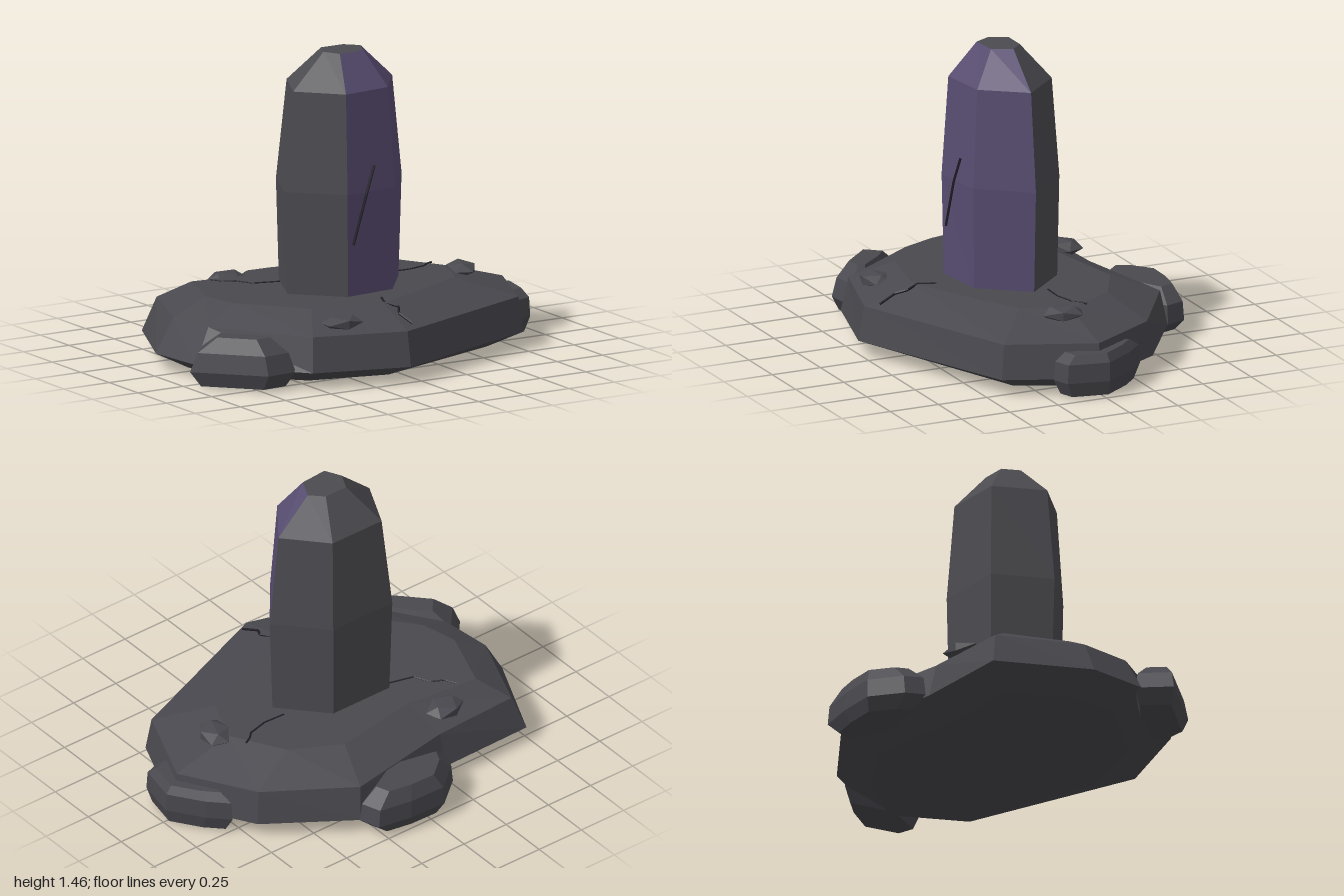
import * as THREE from 'three';

const material = (name, color) => {
  const m = new THREE.MeshStandardMaterial({ color, flatShading: true });
  m.name = name;
  return m;
};

// Joins rings of [x, z] points, given from the bottom up and clockwise from above.
// paint(level, side) picks the material index of a wall panel.
function loft(rings, heights, paint = () => 0) {
  const faces = [[], []];
  const n = rings[0].length;
  const at = (l, i) => [rings[l][i % n][0], heights[l], rings[l][i % n][1]];
  const middle = (l) => [
    rings[l].reduce((s, p) => s + p[0], 0) / n, heights[l],
    rings[l].reduce((s, p) => s + p[1], 0) / n];
  const top = rings.length - 1;
  for (let i = 0; i < n; i++) {
    for (let l = 0; l < top; l++) {
      const a = at(l, i), b = at(l, i + 1), c = at(l + 1, i + 1), d = at(l + 1, i);
      faces[paint(l, i)].push(...a, ...d, ...c, ...a, ...c, ...b);
    }
    faces[0].push(...middle(top), ...at(top, i + 1), ...at(top, i));
    faces[0].push(...middle(0), ...at(0, i), ...at(0, i + 1));
  }
  const g = new THREE.BufferGeometry();
  g.setAttribute('position', new THREE.Float32BufferAttribute(faces.flat(), 3));
  g.addGroup(0, faces[0].length / 3, 0);
  g.addGroup(faces[0].length / 3, faces[1].length / 3, 1);
  g.computeVertexNormals();
  return g;
}

// Shrinks an outline about its own middle
function inset(outline, s) {
  const n = outline.length;
  const cx = outline.reduce((t, p) => t + p[0], 0) / n;
  const cz = outline.reduce((t, p) => t + p[1], 0) / n;
  return outline.map(([x, z]) => [cx + (x - cx) * s, cz + (z - cz) * s]);
}

export function createModel() {
  const model = new THREE.Group();
  model.name = 'stonePillar';
  const rock = material('dark rock', 0x48484e);
  const stone = material('pillar stone', 0x4b4b50);
  const purple = material('purple face', 0x574c70);
  const crackDark = material('crack', 0x1f1d24);
  const add = (name, geometry, mat) => {
    const mesh = new THREE.Mesh(geometry, mat);
    mesh.name = name;
    model.add(mesh);
    return mesh;
  };

  // Broad slab with an undercut foot and sloping shoulders
  const rim = [[-0.73, -0.54], [-0.24, -0.55], [0.33, -0.64], [0.73, -0.37], [0.95, 0],
    [0.77, 0.43], [-0.07, 0.77], [-0.53, 0.64], [-0.9, 0.2], [-0.93, -0.1]];
  const shoulder = [[-0.68, -0.49], [-0.24, -0.51], [0.31, -0.61], [0.71, -0.35], [0.92, 0],
    [0.75, 0.41], [-0.07, 0.74], [-0.51, 0.61], [-0.81, 0.17], [-0.84, -0.09]];
  const plateau = [[-0.57, -0.36], [-0.2, -0.32], [0.23, -0.39], [0.47, -0.26], [0.62, 0],
    [0.52, 0.22], [-0.05, 0.5], [-0.4, 0.42], [-0.64, 0.12], [-0.68, -0.06]];
  const foot = rim.map(([x, z]) => [x * 0.83, z * 0.72]);
  add('baseSlab', loft([foot, rim, shoulder, plateau], [0, 0.08, 0.245, 0.33]), rock);

  // Boulders half buried in the rim
  const boulders = [
    ['backBoulder', [[-0.24, -0.57], [-0.2, -0.66], [-0.06, -0.775], [0.13, -0.77], [0.3, -0.74],
      [0.335, -0.64], [0.1, -0.5]], [0.02, 0.08, 0.17, 0.24], [0.75, 1, 0.96, 0.68]],
    ['frontRightBoulder', [[-0.88, 0.17], [-0.76, 0.27], [-0.57, 0.5], [-0.58, 0.57],
      [-0.74, 0.585], [-1, 0.31]], [0.01, 0.08, 0.17, 0.24], [0.8, 1, 0.86, 0.5]],
    ['leftBoulder', [[0.8, -0.27], [0.89, -0.18], [1, -0.02], [0.96, 0.18], [0.87, 0.21],
      [0.75, 0]], [0.01, 0.08, 0.17, 0.21], [0.85, 1, 0.97, 0.75]],
  ];
  for (const [name, outline, heights, scales] of boulders)
    add(name, loft(scales.map((s) => inset(outline, s)), heights), rock);

  // Small faceted pebbles lying on top
  [[-0.34, 0.305, -0.42, 0.3], [0.65, 0.325, 0.06, 1.2], [-0.32, 0.283, 0.56, 0]].forEach(([x, y, z, turn], i) => {
    const pebble = add('pebble' + (i + 1), new THREE.IcosahedronGeometry(1, 0), rock);
    pebble.scale.set(0.11, 0.038, 0.08);
    pebble.position.set(x, y, z);
    pebble.rotation.y = turn;
  });

  // Six-sided pillar, swelling at the middle, with a chamfered top
  const belly = [[-0.22, -0.175], [0.13, -0.175], [0.335, 0.045], [0.15, 0.28], [-0.13, 0.31], [-0.345, 0.1]];
  const ground = belly.map(([x, z]) => [x * 0.945, 0.065 + (z - 0.065) * 0.965]);
  const neck = [[-0.18, -0.145], [0.11, -0.145], [0.283, 0.045], [0.13, 0.25], [-0.12, 0.28], [-0.295, 0.095]];
  const crown = [[-0.075, -0.01], [0.045, -0.01], [0.105, 0.05], [0.06, 0.145], [-0.075, 0.155], [-0.115, 0.075]];
  // The front face and the one to its left are purple
  add('pillar', loft([ground, belly, neck, crown], [0.3, 0.82, 1.295, 1.46],
    (level, side) => (side === 2 || side === 3 ? 1 : 0)), [stone, purple]);

  // Thin cracks over the slab and a scratch on the pillar
  const crack = (name, points, radius) => {
    const path = new THREE.CurvePath();
    const v = points.map((p) => new THREE.Vector3(...p));
    for (let i = 1; i < v.length; i++) path.add(new THREE.LineCurve3(v[i - 1], v[i]));
    add(name, new THREE.TubeGeometry(path, 24, radius, 5, false), crackDark);
  };
  crack('frontCrack', [[0, 0.33, 0.4], [-0.035, 0.33, 0.48], [0, 0.318, 0.55], [-0.03, 0.3, 0.6], [-0.01, 0.265, 0.69]], 0.006);
  crack('backCrack', [[-0.48, 0.33, -0.34], [-0.45, 0.33, -0.28], [-0.39, 0.33, -0.25], [-0.35, 0.33, -0.17], [-0.22, 0.33, -0.135]], 0.005);
  crack('sideCrack', [[0.31, 0.33, -0.03], [0.42, 0.33, -0.025], [0.52, 0.33, -0.05], [0.55, 0.33, -0.08], [0.59, 0.33, -0.1]], 0.005);
  crack('pillarScratch', [[-0.095, 0.575, 0.303], [-0.02, 0.81, 0.299], [0.03, 0.94, 0.287]], 0.008);

  return model;
}
